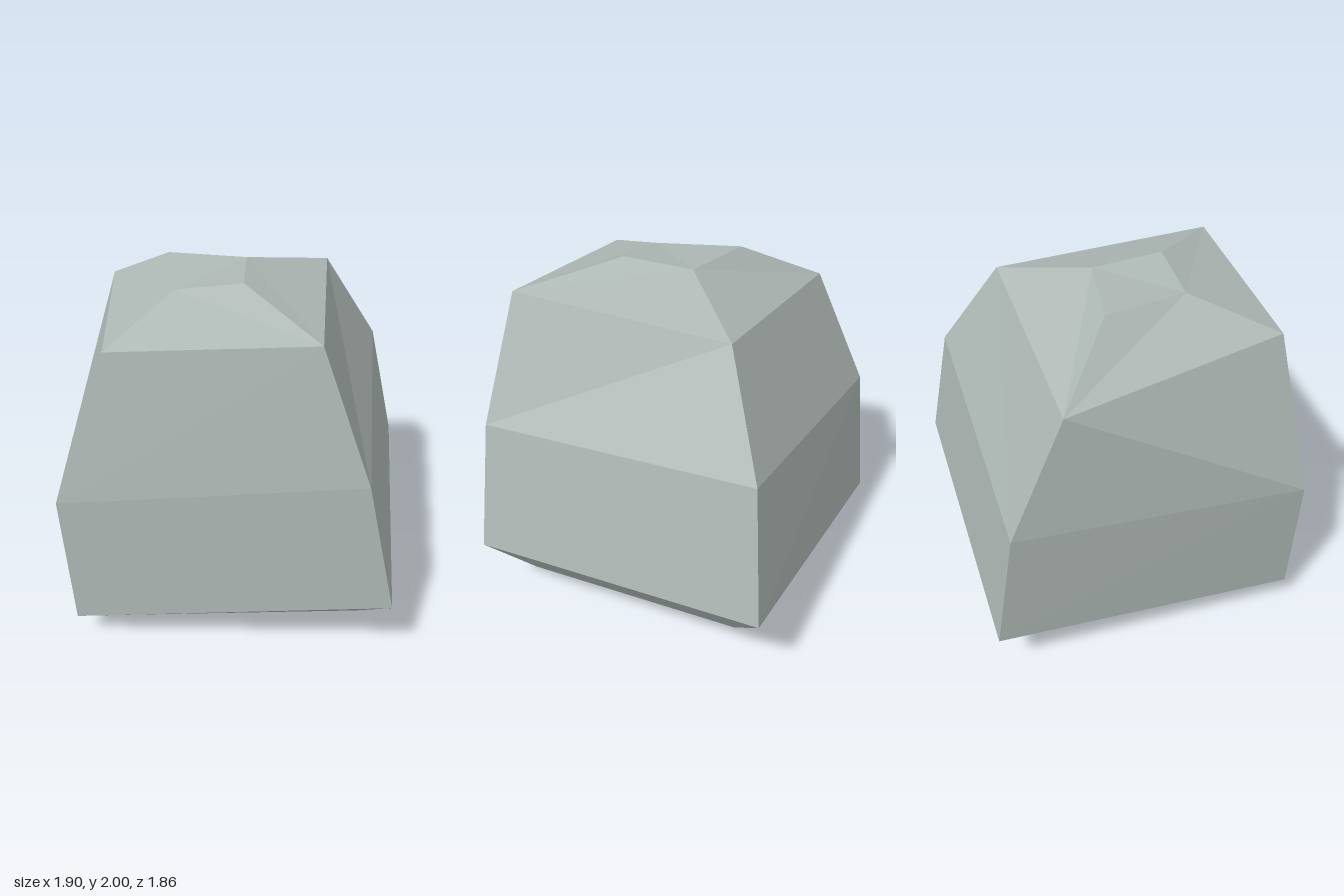
import * as THREE from 'three';

// Four-cornered rings from base to crown, each: front right, front left, back left, back right
const RINGS = [
  [[-0.55, 0, 0.68], [0.75, 0.18, 0.60], [0.66, 0.27, -0.71], [-0.64, 0.09, -0.62]],
  [[-0.78, 0.17, 0.93], [0.95, 0.41, 0.81], [0.82, 0.52, -0.93], [-0.91, 0.29, -0.81]],
  [[-0.83, 0.93, 0.93], [0.79, 1.16, 0.82], [0.67, 1.27, -0.81], [-0.95, 1.05, -0.71]],
  [[-0.55, 1.78, 0.82], [0.52, 1.88, 0.76], [0.39, 1.85, -0.50], [-0.88, 1.71, -0.41]],
  [[-0.30, 1.945, 0.37], [0.06, 2.0, 0.35], [0, 1.99, -0.05], [-0.45, 1.97, -0.10]],
];

// Which way each quad of a band is split: 1 joins lower start to upper end
const SPLITS = [[1, 1, 1, 1], [1, 1, 1, 1], [1, 1, 0, 0], [0, 1, 0, 1]];

function rockGeometry() {
  const index = [];
  const at = (ring, corner) => ring * 4 + (corner % 4);
  // Side bands
  SPLITS.forEach((band, r) => band.forEach((split, i) => {
    const a = at(r, i), b = at(r, i + 1), c = at(r + 1, i + 1), d = at(r + 1, i);
    index.push(...(split ? [a, b, c, a, c, d] : [a, b, d, b, c, d]));
  }));
  // Underside and crown
  index.push(0, 2, 1, 0, 3, 2);
  const top = (RINGS.length - 1) * 4;
  index.push(top, top + 1, top + 2, top, top + 2, top + 3);

  const geometry = new THREE.BufferGeometry();
  geometry.setAttribute('position', new THREE.Float32BufferAttribute(RINGS.flat(2), 3));
  geometry.setIndex(index);
  const faceted = geometry.toNonIndexed();
  faceted.computeVertexNormals();
  return faceted;
}

export function createModel() {
  const stone = new THREE.MeshStandardMaterial({ color: 0xaeb8b4, flatShading: true });
  stone.name = 'pale grey stone';
  const rock = new THREE.Mesh(rockGeometry(), stone);
  rock.name = 'rock';
  const model = new THREE.Group();
  model.name = 'boulder';
  model.add(rock);
  return model;
}
